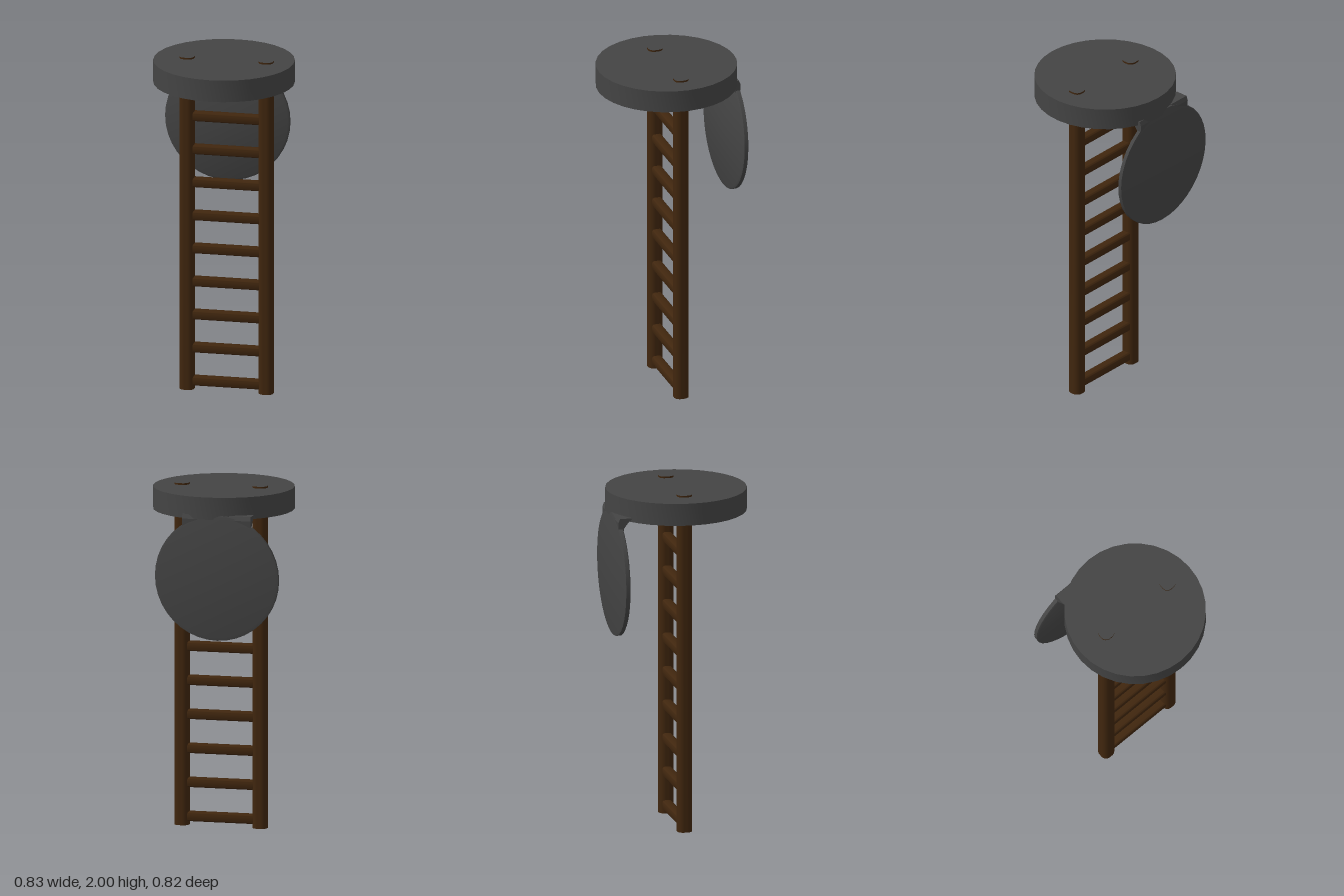
import * as THREE from 'three';
import { toCreasedNormals } from 'three/addons/utils/BufferGeometryUtils.js';

const iron = new THREE.MeshStandardMaterial({ color: 0x444444 });
const wood = new THREE.MeshStandardMaterial({ color: 0x40260e });

// Bar of rounded-square section, running along +z from the origin
function barGeometry(width, radius, length) {
  const h = width / 2, c = h - radius;
  const s = new THREE.Shape();
  s.moveTo(c, -h);
  s.absarc(c, -c, radius, -Math.PI / 2, 0);
  s.absarc(c, c, radius, 0, Math.PI / 2);
  s.absarc(-c, c, radius, Math.PI / 2, Math.PI);
  s.absarc(-c, -c, radius, Math.PI, Math.PI * 1.5);
  const g = new THREE.ExtrudeGeometry(s, { depth: length, bevelEnabled: false, curveSegments: 4 });
  return toCreasedNormals(g, 0.6);
}

function lathe(points, segments) {
  const g = new THREE.LatheGeometry(points.map(([x, y]) => new THREE.Vector2(x, y)), segments);
  return toCreasedNormals(g, 0.6);
}

export function createModel() {
  const model = new THREE.Group();
  const add = (name, geometry, material, x = 0, y = 0, z = 0) => {
    const mesh = new THREE.Mesh(geometry, material);
    mesh.name = name;
    mesh.position.set(x, y, z);
    model.add(mesh);
    return mesh;
  };

  // Side rails: wooden sides with dark end caps
  const railGeo = barGeometry(0.086, 0.034, 2).rotateX(-Math.PI / 2);
  add('rightRail', railGeo, [iron, wood], -0.209, 0, -0.003);
  add('leftRail', railGeo, [iron, wood], 0.256, 0, -0.003);

  // Rungs
  const rungGeo = barGeometry(0.057, 0.016, 0.42).rotateY(Math.PI / 2);
  for (let i = 0; i < 10; i++) {
    add('rung' + (i + 1), rungGeo, wood, -0.187, 0.05 + i * 0.199, -0.003);
  }

  // Round hatch collar, closed on top and hollow underneath
  add('hatchCollar', lathe([
    [0, 1.965], [0.38, 1.965], [0.38, 1.86], [0.408, 1.86], [0.408, 1.99], [0, 1.99],
  ], 32), iron, 0.008);

  // Hanging lid, tipped slightly
  const lid = add('lid', lathe([
    [0, -0.016], [0.355, -0.016], [0.367, -0.01], [0.367, 0.012], [0.35, 0.016], [0, 0.018],
  ], 40), iron, -0.052, 1.519, -0.382);
  lid.rotation.x = -Math.PI / 2 - 0.016;

  // Two hinge tabs joining the lid to the collar
  const tab = new THREE.Shape([
    [0.318, 1.885], [0.345, 1.858], [0.37, 1.825], [0.375, 1.74],
    [0.396, 1.74], [0.402, 1.86], [0.392, 1.885],
  ].map(([z, y]) => new THREE.Vector2(z, y)));
  const tabGeo = new THREE.ExtrudeGeometry(tab, { depth: 0.13, bevelEnabled: false })
    .rotateY(Math.PI / 2); // profile depth now runs toward -z
  add('rightHinge', tabGeo, iron, -0.255);
  add('leftHinge', tabGeo, iron, 0.022);

  return model;
}
